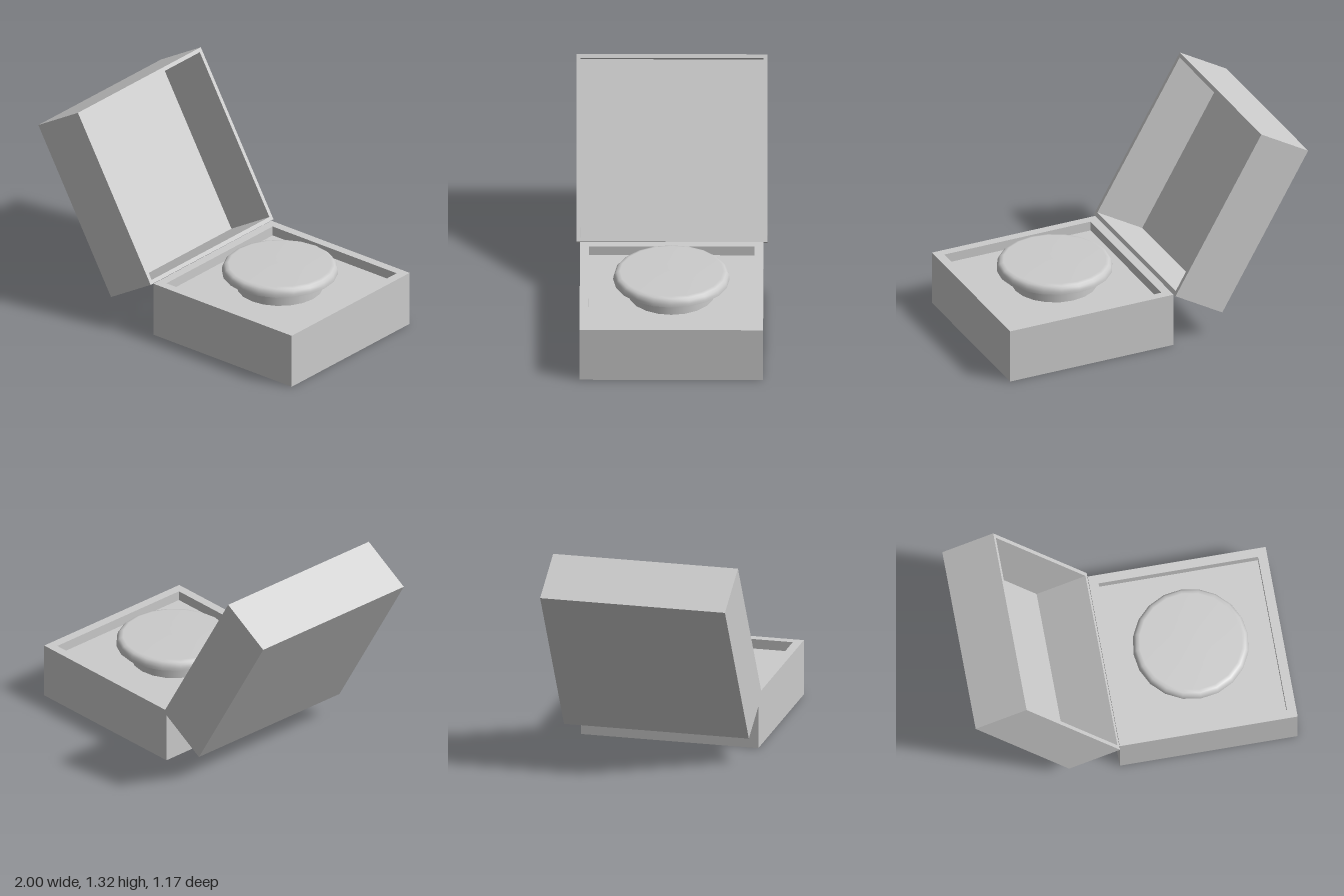
import * as THREE from 'three';

const grey = new THREE.MeshStandardMaterial({ color: 0xcccccc });

function addMesh(parent, name, geometry) {
  const mesh = new THREE.Mesh(geometry, grey);
  mesh.name = name;
  parent.add(mesh);
  return mesh;
}

// Open tray with its rim at y = 0: outer size, height, wall thickness, cavity depth
function trayGeometry(width, length, height, wallX, wallZ, cavity) {
  const ring = (inX, inZ, y) => [[-1, 1], [1, 1], [1, -1], [-1, -1]].map(
    ([sx, sz]) => [sx * (width / 2 - inX), y, sz * (length / 2 - inZ)]);
  const rings = [
    ring(0, 0, -height),
    ring(0, 0, 0),
    ring(wallX, wallZ, 0),
    ring(wallX, wallZ, -cavity),
  ];
  const pos = [];
  const quad = (a, b, c, d) => pos.push(...a, ...b, ...c, ...a, ...c, ...d);
  for (let r = 0; r < 3; r++) {
    for (let i = 0; i < 4; i++) {
      const j = (i + 1) % 4;
      quad(rings[r][i], rings[r][j], rings[r + 1][j], rings[r + 1][i]);
    }
  }
  quad(...rings[3]);
  quad(...[...rings[0]].reverse());
  const geometry = new THREE.BufferGeometry();
  geometry.setAttribute('position', new THREE.Float32BufferAttribute(pos, 3));
  geometry.computeVertexNormals();
  return geometry;
}

const lathe = (points) =>
  new THREE.LatheGeometry(points.map(([r, y]) => new THREE.Vector2(r, y)), 20);

export function createModel() {
  const model = new THREE.Group();
  model.name = 'openBox';
  model.rotation.y = -0.011;

  // Base with a shallow recess
  const base = addMesh(model, 'base', trayGeometry(1.094, 1.11, 0.345, 0.057, 0.055, 0.06));
  base.position.set(0.445, 0.345, 0);

  // Deep lid tipped back about its hinge edge
  const lid = new THREE.Group();
  lid.name = 'lid';
  lid.position.set(-0.104, 0.345, 0);
  lid.rotation.z = THREE.MathUtils.degToRad(-59.6);
  const shell = addMesh(lid, 'lidShell', trayGeometry(1.136, 1.156, 0.363, 0.024, 0.024, 0.348));
  shell.position.x = -0.568;
  model.add(lid);

  // Round button on a short neck
  const button = new THREE.Group();
  button.name = 'button';
  button.position.set(0.433, 0, 0);
  model.add(button);
  const neck = addMesh(button, 'buttonNeck',
    new THREE.CylinderGeometry(0.262, 0.262, 0.1, 20, 1, true));
  neck.position.y = 0.335;
  addMesh(button, 'buttonUnderside', lathe([[0, 0.385], [0.3525, 0.385]]));
  addMesh(button, 'buttonCap', lathe([
    [0.3525, 0.385], [0.352, 0.402], [0.346, 0.422], [0.333, 0.435], [0.312, 0.441], [0, 0.443],
  ]));
  return model;
}
